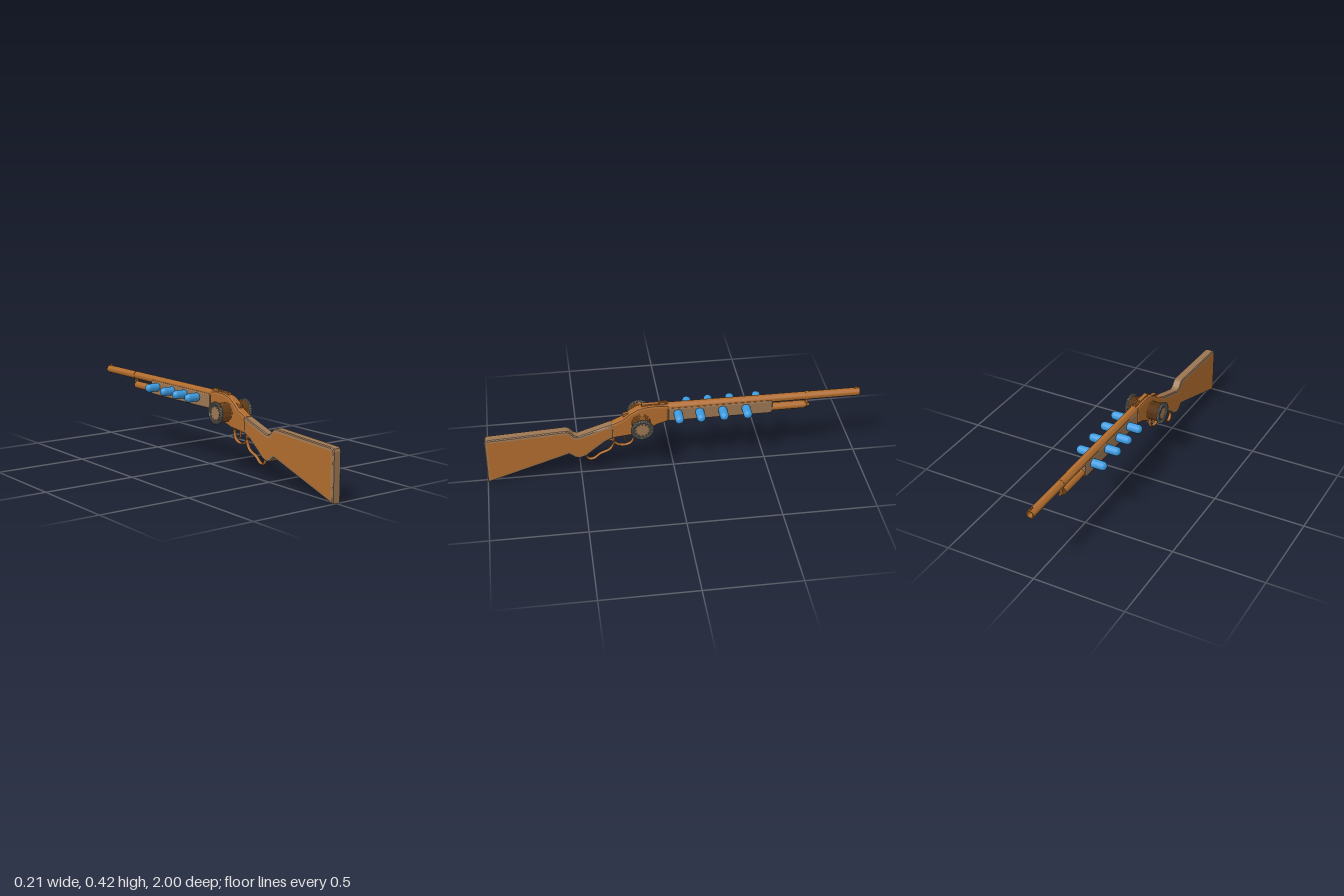
import * as THREE from 'three';
import { toCreasedNormals } from 'three/addons/utils/BufferGeometryUtils.js';

const mat = (name, color) => {
  const m = new THREE.MeshStandardMaterial({ color });
  m.name = name;
  return m;
};

export function createModel() {
  const root = new THREE.Group();
  const brown = mat('warmBrown', 0xb06c2e);
  const wood = mat('dullWood', 0x9b7653);
  const blue = mat('shellBlue', 0x3d9be0);
  const grey = mat('wireGrey', 0x70706e);

  const add = (name, geo, material, parent = root) => {
    const mesh = new THREE.Mesh(geo, material);
    mesh.name = name;
    parent.add(mesh);
    return mesh;
  };

  // Side outline given as [z, y], extruded across x with a bevelled edge
  const slab = (pts, width, bevel, thick) => {
    const shape = new THREE.Shape(pts.map(p => new THREE.Vector2(...p)));
    const depth = width - 2 * thick;
    const geo = new THREE.ExtrudeGeometry(shape, {
      depth, bevelEnabled: bevel > 0, bevelSize: bevel, bevelOffset: -bevel,
      bevelThickness: thick, bevelSegments: 2,
    });
    geo.translate(0, 0, -depth / 2);
    return geo.rotateY(-Math.PI / 2);
  };

  // Turned part along the barrel direction, profile given as [radius, z]
  const turned = (pts, y) => {
    const geo = new THREE.LatheGeometry(pts.map(([r, z]) => new THREE.Vector2(r, -z)), 24);
    return toCreasedNormals(geo.rotateX(-Math.PI / 2).translate(0, y, 0), 0.6);
  };

  const box = (name, w, h, d, x, y, z, material = brown) =>
    add(name, new THREE.BoxGeometry(w, h, d).translate(x, y, z), material);

  // Flattened bar following a curve in the middle plane
  const strap = (name, pts, closed, r = 0.0055) => {
    const curve = new THREE.CatmullRomCurve3(
      pts.map(([z, y]) => new THREE.Vector3(0, y, z)), closed);
    add(name, new THREE.TubeGeometry(curve, 64, r, 8, closed).scale(1.9, 1, 1), brown);
  };

  // Stock: warm side panels framed by dull wood edges
  add('stock', slab([
    [1, 0.003], [1, 0.255], [0.994, 0.268], [0.98, 0.274], [0.57, 0.294], [0.555, 0.288],
    [0.53, 0.26], [0.51, 0.254], [0.43, 0.28], [0.32, 0.316], [0.325, 0.228],
    [0.37, 0.205], [0.44, 0.15], [0.47, 0.125], [0.505, 0.113], [0.53, 0.12], [0.56, 0.145],
  ], 0.054, 0.016, 0.007), [brown, wood]);

  // Receiver
  add('receiver', slab([
    [0.338, 0.225], [0.33, 0.315], [0.27, 0.342], [0.235, 0.373], [0.195, 0.397],
    [0.15, 0.408], [0.1, 0.412], [0.028, 0.405], [0.028, 0.31], [0.09, 0.29],
    [0.15, 0.256], [0.21, 0.238], [0.27, 0.232],
  ], 0.052, 0.012, 0.012), brown);
  box('breechTop', 0.022, 0.014, 0.14, 0, 0.409, 0.1);
  const hammer = box('hammer', 0.018, 0.016, 0.05, 0, 0, 0);
  hammer.position.set(0, 0.362, 0.245);
  hammer.rotation.x = 0.2;

  // Forestock
  add('forestock', slab([
    [0.03, 0.309], [0.03, 0.392], [-0.515, 0.392], [-0.527, 0.38], [-0.527, 0.318], [-0.515, 0.309],
  ], 0.052, 0.01, 0.009), wood);

  // Barrel with open bore, and magazine tube beneath it
  add('barrel', turned([
    [0, 0.05], [0.0225, 0.05], [0.0215, -1], [0.016, -1], [0.015, -0.85], [0, -0.85],
  ], 0.39), brown);
  add('magazineTube', turned([
    [0, -0.5], [0.021, -0.5], [0.021, -0.705], [0.016, -0.705], [0.016, -0.712], [0, -0.712],
  ], 0.335), brown);
  add('barrelBand', turned([
    [0.0215, -0.706], [0.0235, -0.706], [0.0235, -0.722], [0.0215, -0.722],
  ], 0.39), brown);
  box('bandLink', 0.014, 0.05, 0.016, 0, 0.35, -0.714);
  add('bandScrew', new THREE.CylinderGeometry(0.008, 0.008, 0.03, 12)
    .rotateX(Math.PI / 2).translate(0, 0.332, -0.717), brown);

  // Sights
  box('frontSight', 0.005, 0.014, 0.02, 0, 0.414, -0.982);
  for (const s of [-1, 1]) box('rearSight', 0.007, 0.016, 0.045, s * 0.006, 0.414, 0.06);

  // Trigger guard, trigger and lever loop
  strap('triggerGuard', [
    [0.215, 0.225], [0.225, 0.18], [0.26, 0.163], [0.3, 0.17], [0.32, 0.195],
    [0.31, 0.226], [0.265, 0.238],
  ], true);
  strap('trigger', [[0.26, 0.24], [0.265, 0.21], [0.255, 0.185]], false, 0.004);
  strap('leverLoop', [
    [0.32, 0.195], [0.36, 0.205], [0.4, 0.175], [0.45, 0.143], [0.469, 0.115],
    [0.455, 0.089], [0.43, 0.09], [0.395, 0.117], [0.345, 0.14], [0.326, 0.165],
  ], true);

  // Shells staggered on both sides
  const shells = { 1: [-0.02, -0.135, -0.257, -0.382], '-1': [-0.08, -0.195, -0.312, -0.456] };
  for (const s of [1, -1]) {
    for (const z of shells[s]) {
      add('shell', new THREE.CapsuleGeometry(0.0235, 0.05, 8, 20)
        .rotateZ(Math.PI / 2).translate(s * 0.058, 0.358, z), blue);
    }
  }

  // Side drums: ribbed body, end disc, wire-wrapped rim
  class Wrap extends THREE.Curve {
    getPoint(t, out = new THREE.Vector3()) {
      const a = t * Math.PI * 2, b = a * 36;
      const r = 0.0505 + 0.0085 * Math.cos(b);
      return out.set(0.0085 * Math.sin(b), r * Math.cos(a), r * Math.sin(a));
    }
  }
  const ribs = [[0, 0.015]];
  for (let i = 0; i < 14; i++) {
    const x = 0.018 + i * 0.005;
    ribs.push([0.047, x], [0.051, x + 0.0015], [0.051, x + 0.0035]);
  }
  ribs.push([0.047, 0.09], [0, 0.09]);
  const ribGeo = toCreasedNormals(new THREE.LatheGeometry(
    ribs.map(p => new THREE.Vector2(...p)), 32).rotateZ(-Math.PI / 2), 0.5);

  for (const s of [1, -1]) {
    const drum = new THREE.Group();
    drum.name = s > 0 ? 'leftDrum' : 'rightDrum';
    drum.position.set(0, 0.317, 0.176);
    if (s < 0) drum.rotation.y = Math.PI;
    add('drumBody', ribGeo, brown, drum);
    add('drumDisc', new THREE.CylinderGeometry(0.043, 0.043, 0.008, 32)
      .rotateZ(Math.PI / 2).translate(0.093, 0, 0), wood, drum);
    add('rimCore', new THREE.TorusGeometry(0.0505, 0.0085, 10, 40)
      .rotateY(Math.PI / 2).translate(0.095, 0, 0), grey, drum);
    add('rimWire', new THREE.TubeGeometry(new Wrap(), 540, 0.0025, 5, true)
      .translate(0.095, 0, 0), grey, drum);
    // Studs around the disc
    for (let i = 0; i < 12; i++) {
      const a = i / 12 * Math.PI * 2;
      add('stud', new THREE.SphereGeometry(0.004, 8, 6)
        .translate(0.098, 0.037 * Math.cos(a), 0.037 * Math.sin(a)), grey, drum);
    }
    root.add(drum);
  }

  return root;
}
